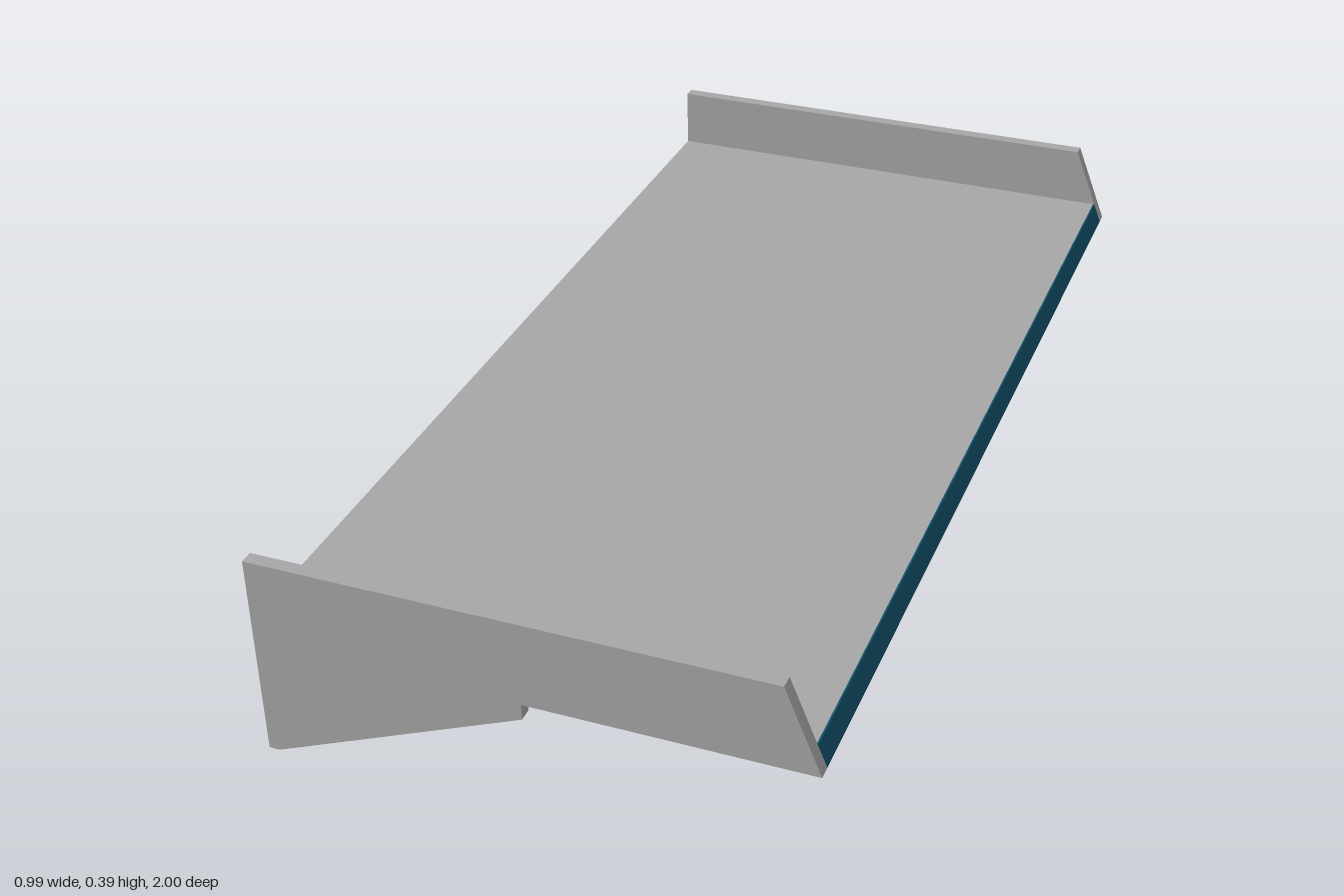
import * as THREE from 'three';

export function createModel() {
  const model = new THREE.Group();
  model.name = 'shelf';
  const grey = new THREE.MeshStandardMaterial({ name: 'grey board', color: 0xa6a6a6 });
  const teal = new THREE.MeshStandardMaterial({ name: 'teal edging', color: 0x11506a });

  // Extrudes an x-y outline along z, starting at z0
  function board(name, points, z0, depth, material) {
    const shape = new THREE.Shape(points.map(([x, y]) => new THREE.Vector2(x, y)));
    const geometry = new THREE.ExtrudeGeometry(shape, { depth, bevelEnabled: false });
    geometry.translate(0, 0, z0);
    const mesh = new THREE.Mesh(geometry, material);
    mesh.name = name;
    model.add(mesh);
  }

  const thick = 0.025;
  const inner = 1 - thick;
  const back = -0.495, front = 0.493;
  const bottom = 0.23, top = 0.27;
  const slope = (front - 0.43) / (0.39 - bottom);
  const frontTop = front - slope * (top - bottom);
  const band = 0.003;

  // Side panels with a bracket foot and a raked front end
  const side = [
    [back, 0], [-0.475, 0], [-0.01, 0.2], [-0.01, bottom],
    [front, bottom], [0.43, 0.39], [back, 0.39],
  ];
  board('leftEndPanel', side, inner, thick, grey);
  board('rightEndPanel', side, -1, thick, grey);

  // Shelf board, raked at the front like the panels
  board('shelfBoard', [
    [back, bottom], [front - band, bottom], [frontTop - band, top], [back, top],
  ], -inner, inner * 2, grey);

  // Thin coloured edging on the raked front edge
  board('frontEdging', [
    [front - band, bottom], [front, bottom], [frontTop, top], [frontTop - band, top],
  ], -inner, inner * 2, teal);

  return model;
}
